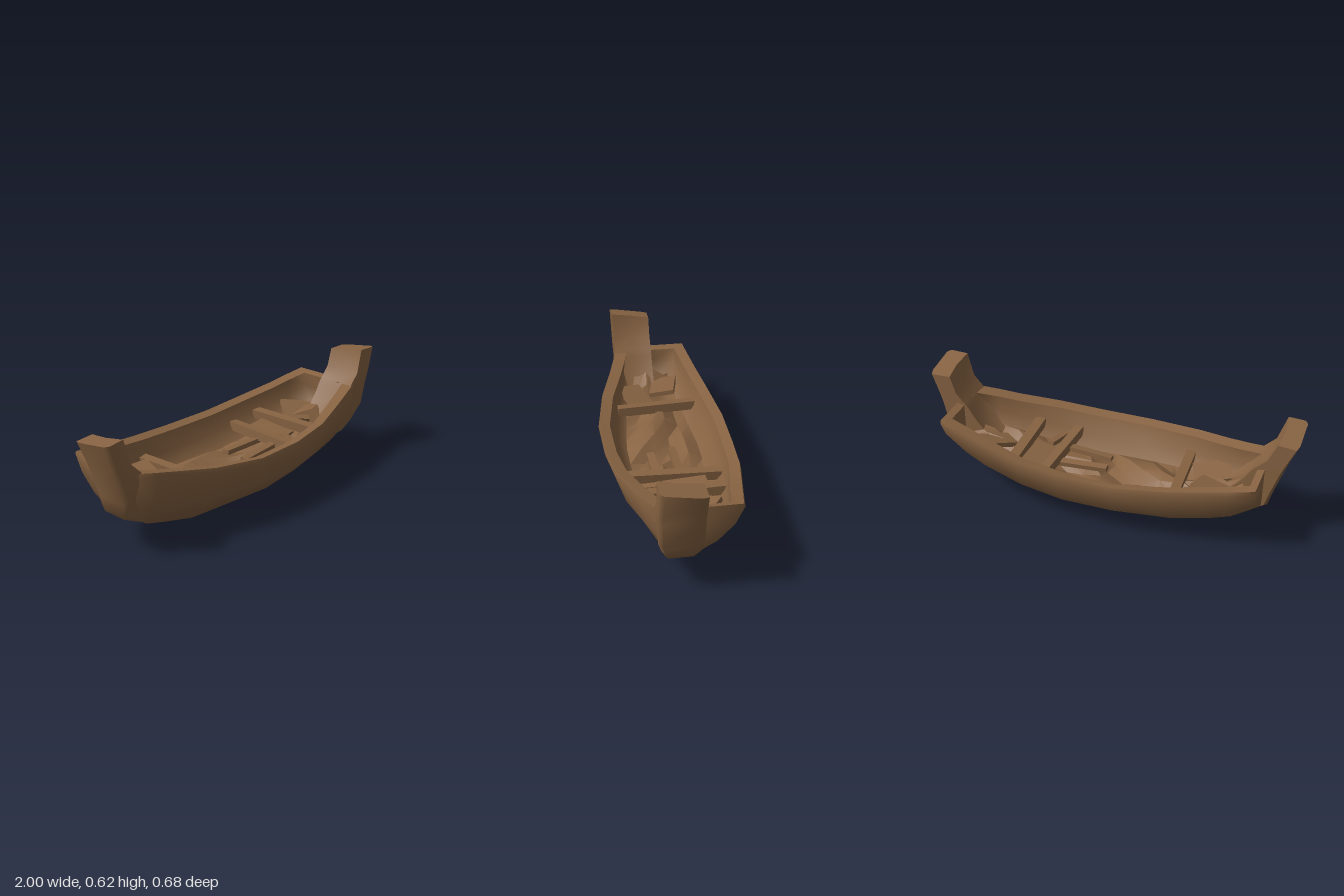
import * as THREE from 'three';
import { toCreasedNormals } from 'three/addons/utils/BufferGeometryUtils.js';

const wood = new THREE.MeshStandardMaterial({ color: 0x876342, side: THREE.DoubleSide });
wood.name = 'brown wood';
const lerp = THREE.MathUtils.lerp;

// Skin a list of cross-sections (each a list of [x, y, z]).
function loft(rings, { closed = false, caps = false, crease = 0.7 } = {}) {
  const n = rings[0].length, pos = rings.flat(2), idx = [];
  const steps = closed ? n : n - 1;
  for (let i = 0; i < rings.length - 1; i++) {
    for (let j = 0; j < steps; j++) {
      const k = (j + 1) % n;
      const a = i * n + j, b = i * n + k, c = (i + 1) * n + k, d = (i + 1) * n + j;
      idx.push(a, b, c, a, c, d);
    }
  }
  const cap = (row, flip) => {
    const ring = rings[row], centre = pos.length / 3;
    for (let c = 0; c < 3; c++) pos.push(ring.reduce((s, p) => s + p[c], 0) / n);
    for (let j = 0; j < n; j++) {
      const a = row * n + j, b = row * n + (j + 1) % n;
      idx.push(centre, flip ? b : a, flip ? a : b);
    }
  };
  if (caps) {
    cap(0, true);
    cap(rings.length - 1, false);
  }
  const g = new THREE.BufferGeometry();
  g.setAttribute('position', new THREE.Float32BufferAttribute(pos, 3));
  g.setIndex(idx);
  return toCreasedNormals(g, crease);
}

// Hull stations: x, sheer height, keel height, front edge z, back edge z,
// and how far the back half of the bottom sweeps up towards the sheer
const stations = [
  [-0.85, 0.437, 0.20, 0.165, -0.235, 0.35],
  [-0.72, 0.412, 0.12, 0.20, -0.256, 0.1],
  [-0.60, 0.392, 0.085, 0.235, -0.275, 0],
  [-0.42, 0.365, 0.038, 0.293, -0.305, 0],
  [-0.14, 0.338, 0.02, 0.34, -0.34, 0],
  [0.14, 0.337, 0.003, 0.334, -0.336, 0],
  [0.38, 0.357, 0.03, 0.305, -0.32, 0],
  [0.60, 0.391, 0.08, 0.24, -0.279, 0],
  [0.72, 0.415, 0.115, 0.205, -0.256, 0.1],
  [0.845, 0.437, 0.18, 0.165, -0.232, 0.35],
];

// Outer section: front edge, down round the off-centre keel, up to the back edge
function outerSection([x, top, keel, zf, zb, lift]) {
  const F = 0.115, B = -0.03;
  const front = (f, v) => [x, lerp(keel, top, v), lerp(F, zf, f)];
  const back = (f, v) => [x, lerp(keel, top, lerp(v, 1, f * lift)), lerp(B, zb, f)];
  return [front(0.97, 1), front(1, 0.94), front(0.74, 0.47), front(0, 0),
    back(0, 0.07), back(0.39, 0.13), back(0.79, 0.42), back(1, 0.9), back(0.97, 1)];
}

const floorY = ([, top, keel]) => lerp(keel, top, 0.36);

// Inner section, running the other way so it faces into the boat
function innerSection(s) {
  const [x, top, , zf, zb] = s, f = floorY(s), xi = x * 0.955;
  return [[xi, top - 0.012, zb + 0.06], [xi, lerp(f, top, 0.48), zb * 0.74], [xi, f, zb * 0.5],
    [xi, f, zf * 0.5], [xi, lerp(f, top, 0.48), zf * 0.71], [xi, top - 0.012, zf - 0.06]];
}

// Stem post following the keel up: outer x, y; inner x, y; front z
function postGeometry(side, levels) {
  const rings = levels.map(([xo, yo, xi, yi, zf], i) => {
    const last = i === levels.length - 1;
    const ring = [
      [0, zf - 0.005], [0.85, zf], [1, zf - 0.02], [1, -0.005], [0.9, -0.038], [0, -0.036], [0.1, 0.07],
    ].map(([t, z]) => [side * lerp(xi, xo, t), lerp(yi, yo, t) + (last ? (z - 0.18) * 0.16 : 0), z]);
    return side > 0 ? ring : ring.reverse();
  });
  return loft(rings, { closed: true, caps: true, crease: 1 });
}

function seeded(seed) {
  return () => (seed = (seed * 16807) % 2147483647) / 2147483647;
}

export function createModel() {
  const model = new THREE.Group();
  const add = (name, geometry) => {
    const mesh = new THREE.Mesh(geometry, wood);
    mesh.name = name;
    model.add(mesh);
    return mesh;
  };
  const outer = stations.map(outerSection), inner = stations.map(innerSection);

  // Hull shell, inner lining and the gunwale joining them
  add('hull', loft(outer, { caps: true, crease: 1.75 }));
  add('lining', loft(inner, { caps: true, crease: 1.75 }));
  const loop = (rows, front, back) => [
    ...rows.map((r) => r[front]), ...rows.map((r) => r[back]).reverse()];
  add('gunwale', loft([loop(outer, 0, 8), loop(inner, 5, 0)], { closed: true }));

  // Raised posts at both ends
  add('leftPost', postGeometry(1, [
    [0.66, 0.112, 0.62, 0.22, 0.112], [0.74, 0.122, 0.67, 0.26, 0.118],
    [0.81, 0.14, 0.71, 0.31, 0.134], [0.86, 0.19, 0.75, 0.36, 0.152],
    [0.92, 0.28, 0.78, 0.41, 0.174], [0.95, 0.43, 0.80, 0.435, 0.179],
    [0.965, 0.49, 0.85, 0.49, 0.18], [0.998, 0.62, 0.88, 0.623, 0.18]]));
  add('rightPost', postGeometry(-1, [
    [0.66, 0.118, 0.62, 0.22, 0.112], [0.72, 0.122, 0.66, 0.26, 0.118],
    [0.80, 0.163, 0.71, 0.31, 0.134], [0.875, 0.205, 0.75, 0.36, 0.152],
    [0.897, 0.29, 0.78, 0.41, 0.174], [0.94, 0.43, 0.80, 0.435, 0.179],
    [0.96, 0.49, 0.855, 0.49, 0.18], [1.0, 0.62, 0.90, 0.628, 0.183]]));

  // Values along the hull, interpolated between stations
  const at = (x) => {
    let i = 0;
    while (i < stations.length - 2 && x > stations[i + 1][0]) i++;
    const a = stations[i], b = stations[i + 1], t = (x - a[0]) / (b[0] - a[0]);
    return a.map((v, k) => lerp(v, b[k], t));
  };

  // Crumpled heap covering the bottom boards
  const rand = seeded(41), heap = [];
  for (let i = 0; i <= 14; i++) {
    const s = at(-0.77 + i * 0.11), row = [];
    for (let j = 0; j <= 5; j++) {
      const edge = j === 0 || j === 5;
      const y = floorY(s) + (edge ? 0.03 : 0.01 + rand() * 0.08);
      row.push([s[0] + (rand() - 0.5) * 0.05, y, lerp(s[4] * 0.6, s[3] * 0.56, j / 5)]);
    }
    heap.push(row);
  }
  add('bottomHeap', loft(heap, { crease: 0.5 }));

  // Cross thwarts: x, width, slant
  for (const [x, w, slant] of [[-0.42, 0.05, 0.06], [0.26, 0.05, -0.05], [0.455, 0.055, 0.04]]) {
    const s = at(x), zf = s[3] - 0.085, zb = s[4] + 0.075;
    const m = add('thwart', new THREE.BoxGeometry(w, 0.05, zf - zb));
    m.position.set(x, floorY(s) + 0.1, (zf + zb) / 2);
    m.rotation.set(0, slant, slant);
  }

  // Loose planks: x, height over floor, z, length, width, yaw, roll
  const planks = [
    [0.13, 0.09, 0.08, 0.27, 0.04, 0.02, 0.1],
    [0.12, 0.09, -0.04, 0.28, 0.04, 0.06, -0.08],
    [0.35, 0.08, -0.05, 0.17, 0.22, 0.05, 0.1],
    [-0.56, 0.07, 0.09, 0.2, 0.14, 0.35, -0.15],
    [-0.62, 0.08, -0.08, 0.22, 0.14, -0.2, 0.2],
    [0.6, 0.08, -0.07, 0.18, 0.14, 0.9, 0.2],
    [0.33, 0.08, 0.13, 0.16, 0.04, 1.4, 0.1],
  ];
  for (const [x, up, z, length, width, yaw, roll] of planks) {
    const m = add('loosePlank', new THREE.BoxGeometry(length, 0.025, width));
    m.position.set(x, floorY(at(x)) + up, z);
    m.rotation.set(roll, yaw, roll * 0.6);
  }
  return model;
}
